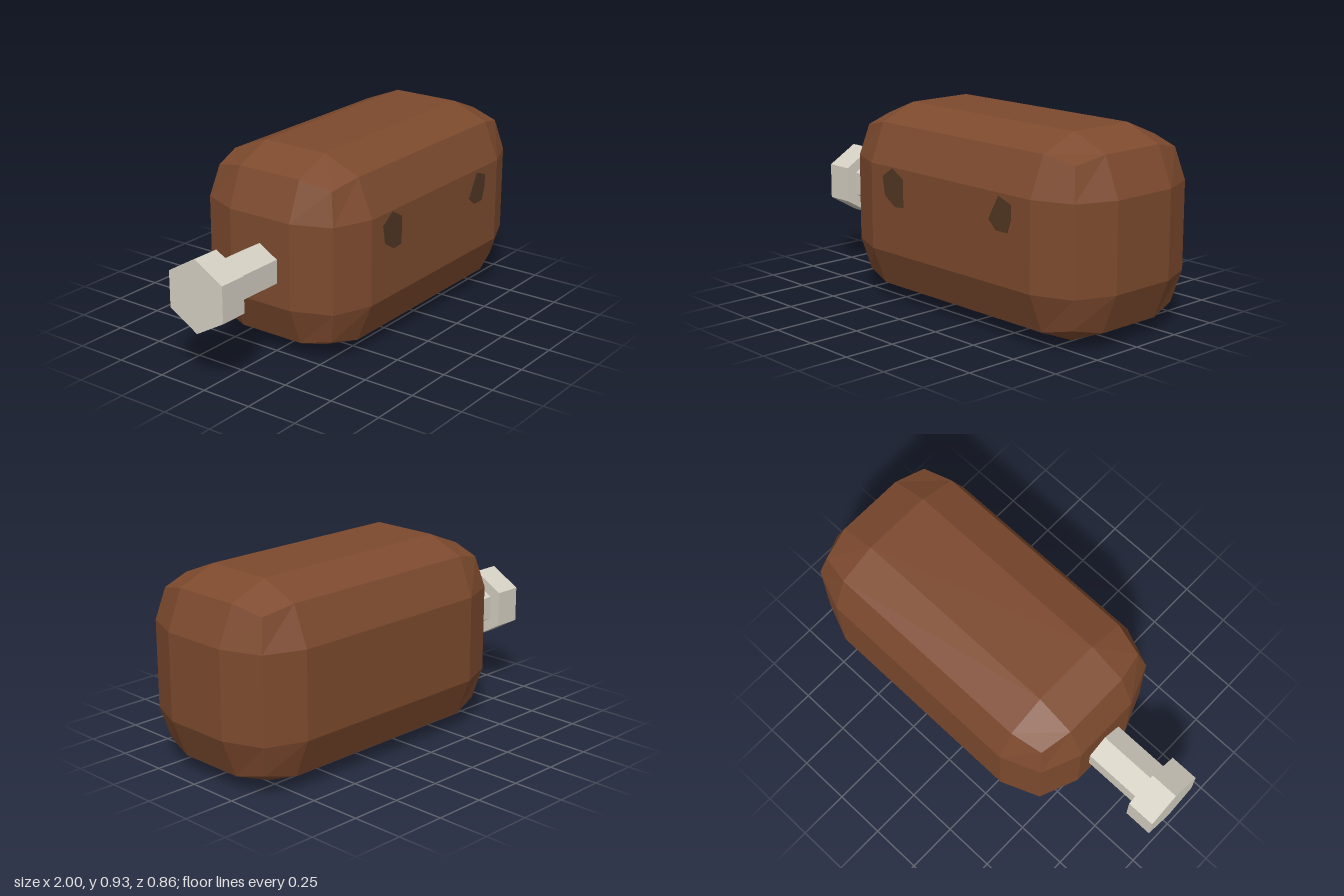
import * as THREE from 'three';

const CENTER = new THREE.Vector3(0.2135, 0.465, -0.0295);
const HALF = new THREE.Vector3(0.7865, 0.465, 0.4275);

// Facet a geometry by giving every triangle its own normals
function faceted(geometry) {
  const g = geometry.index ? geometry.toNonIndexed() : geometry;
  g.computeVertexNormals();
  return g;
}

// Box whose edges and corners are pulled in: flat panels, bevelled edges, blunt corners
function bevelledBox(half) {
  const g = new THREE.BoxGeometry(2, 2, 2, 3, 3, 3);
  const pos = g.attributes.position;
  const outerInset = [0, 0, 0.075, 0.109];
  for (let i = 0; i < pos.count; i++) {
    const p = [pos.getX(i), pos.getY(i), pos.getZ(i)];
    const outer = p.map((v) => Math.abs(v) > 0.9);
    const count = outer.filter(Boolean).length;
    const h = half.toArray();
    const q = p.map((v, k) => Math.sign(v) * (h[k] - (outer[k] ? outerInset[count] : 0.259)));
    pos.setXYZ(i, ...q);
  }
  return faceted(g);
}

// Six-sided bar lying along x, with a ridge on top
function hexBar(radius, x0, x1) {
  const g = new THREE.CylinderGeometry(radius, radius, x1 - x0, 6, 1, false, Math.PI / 2);
  g.rotateZ(Math.PI / 2);
  g.translate((x0 + x1) / 2, 0.4325, CENTER.z);
  return faceted(g);
}

export function createModel() {
  const model = new THREE.Group();
  const brown = new THREE.MeshStandardMaterial({ color: 0x7d4a2e });
  brown.name = 'roastBrown';
  const dark = new THREE.MeshStandardMaterial({ color: 0x523723 });
  dark.name = 'darkBrown';
  const bone = new THREE.MeshStandardMaterial({ color: 0xd4cfc2 });
  bone.name = 'boneGrey';

  const add = (name, geometry, material) => {
    const mesh = new THREE.Mesh(geometry, material);
    mesh.name = name;
    model.add(mesh);
    return mesh;
  };

  // Meat body
  add('body', bevelledBox(HALF), brown).position.copy(CENTER);

  // Bone sticking out of the right end
  add('boneShaft', hexBar(0.113, -0.87, -0.5), bone);
  add('boneKnob', hexBar(0.173, -1, -0.86), bone);

  // Dark irregular spots on the front panel
  const spots = {
    rightSpot: [[-0.23, 0.62], [-0.214, 0.53], [-0.144, 0.487], [-0.086, 0.492], [-0.086, 0.626], [-0.16, 0.668]],
    leftSpot: [[0.55, 0.658], [0.487, 0.545], [0.535, 0.503], [0.604, 0.503], [0.626, 0.567], [0.626, 0.631]],
  };
  for (const [name, points] of Object.entries(spots)) {
    const shape = new THREE.Shape(points.map(([x, y]) => new THREE.Vector2(x, y)));
    const plate = new THREE.ExtrudeGeometry(shape, { depth: 0.006, bevelEnabled: false });
    add(name, plate, dark).position.z = CENTER.z + HALF.z - 0.003;
  }

  return model;
}
